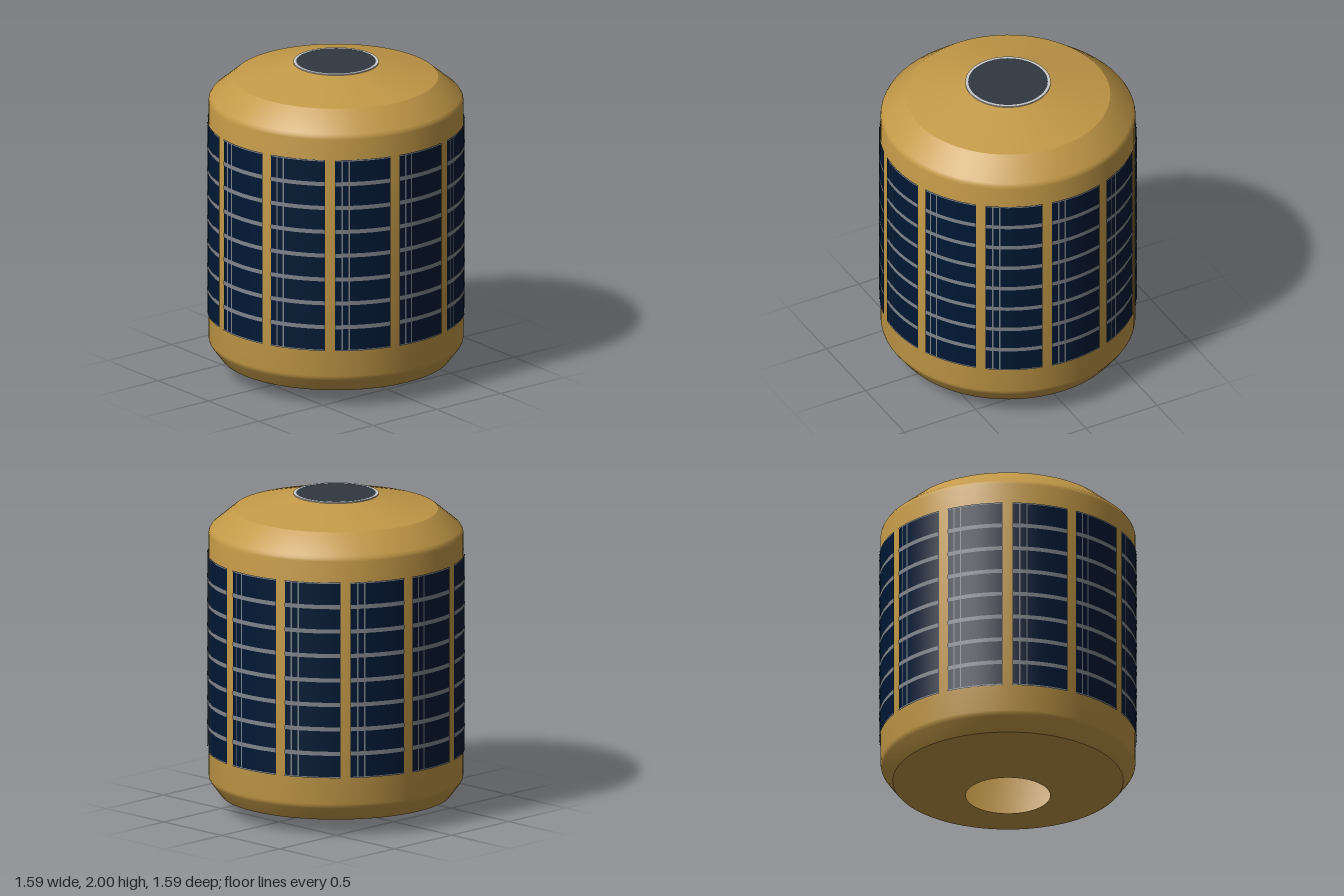
import * as THREE from 'three';
import { toCreasedNormals } from 'three/addons/utils/BufferGeometryUtils.js';

const rad = THREE.MathUtils.degToRad;

function material(name, color) {
  const m = new THREE.MeshStandardMaterial({ color, side: THREE.DoubleSide });
  m.name = name;
  return m;
}

function part(name, geometry, mat, parent) {
  const mesh = new THREE.Mesh(geometry, mat);
  mesh.name = name;
  parent.add(mesh);
  return mesh;
}

// Creased solid of revolution from [radius, height] pairs
function turned(points, creaseAngle) {
  const profile = points.map(([r, y]) => new THREE.Vector2(r, y));
  return toCreasedNormals(new THREE.LatheGeometry(profile, 64), creaseAngle);
}

// Thin curved plate on the drum wall; angles in degrees from the front
function curvedPlate(radius, y0, y1, startDeg, widthDeg, segments) {
  const g = new THREE.CylinderGeometry(radius, radius, y1 - y0, segments, 1, true, rad(startDeg), rad(widthDeg));
  return g.translate(0, (y0 + y1) / 2, 0);
}

export function createModel() {
  const model = new THREE.Group();
  model.name = 'solarDrum';
  const gold = material('goldFoil', 0xc39947);
  const blue = material('solarBlue', 0x001834);
  const grey = material('gridGrey', 0x7f858c);
  const dark = material('hatchDark', 0x31373f);
  const silver = material('rimSilver', 0xc8c8c8);

  // Hollow body with softened shoulders, open at the bottom
  part('body', turned([
    [0.26, 0], [0.71, 0.1], [0.773, 0.184], [0.781, 0.198], [0.785, 0.215],
    [0.785, 1.75], [0.781, 1.766], [0.771, 1.782], [0.63, 1.9], [0.26, 1.994],
  ], 0.35), gold, model);

  // Top hatch with its raised rim
  part('hatch', new THREE.CircleGeometry(0.247, 64).rotateX(-Math.PI / 2).translate(0, 1.999, 0), dark, model);
  part('hatchRim', turned([[0.263, 1.988], [0.263, 2], [0.245, 2]], 0.35), silver, model);

  // Twelve solar panels with silver contact lines
  const bottom = 0.382, top = 1.62, width = 25.5, cells = 8;
  const rowStep = (top - bottom) / cells, colStep = width / cells;
  for (let i = 0; i < 12; i++) {
    const start = 4 + i * 30 - width / 2;
    const panel = new THREE.Group();
    panel.name = 'solarPanel' + (i + 1);
    model.add(panel);
    part('cellSheet', curvedPlate(0.791, bottom, top, start, width, 8), blue, panel);
    for (let r = 0; r <= cells; r++) {
      const y = bottom + r * rowStep;
      const y0 = Math.max(bottom, y - (r === cells ? 0.008 : 0.013));
      const y1 = Math.min(top, y + (r === 0 ? 0.008 : 0.013));
      part('rowLine', curvedPlate(0.794, y0, y1, start, width, 8), grey, panel);
    }
    for (const c of [1, 2]) {
      part('columnLine', curvedPlate(0.794, bottom, top, start + c * colStep - 0.3, 0.6, 1), grey, panel);
    }
  }
  return model;
}
